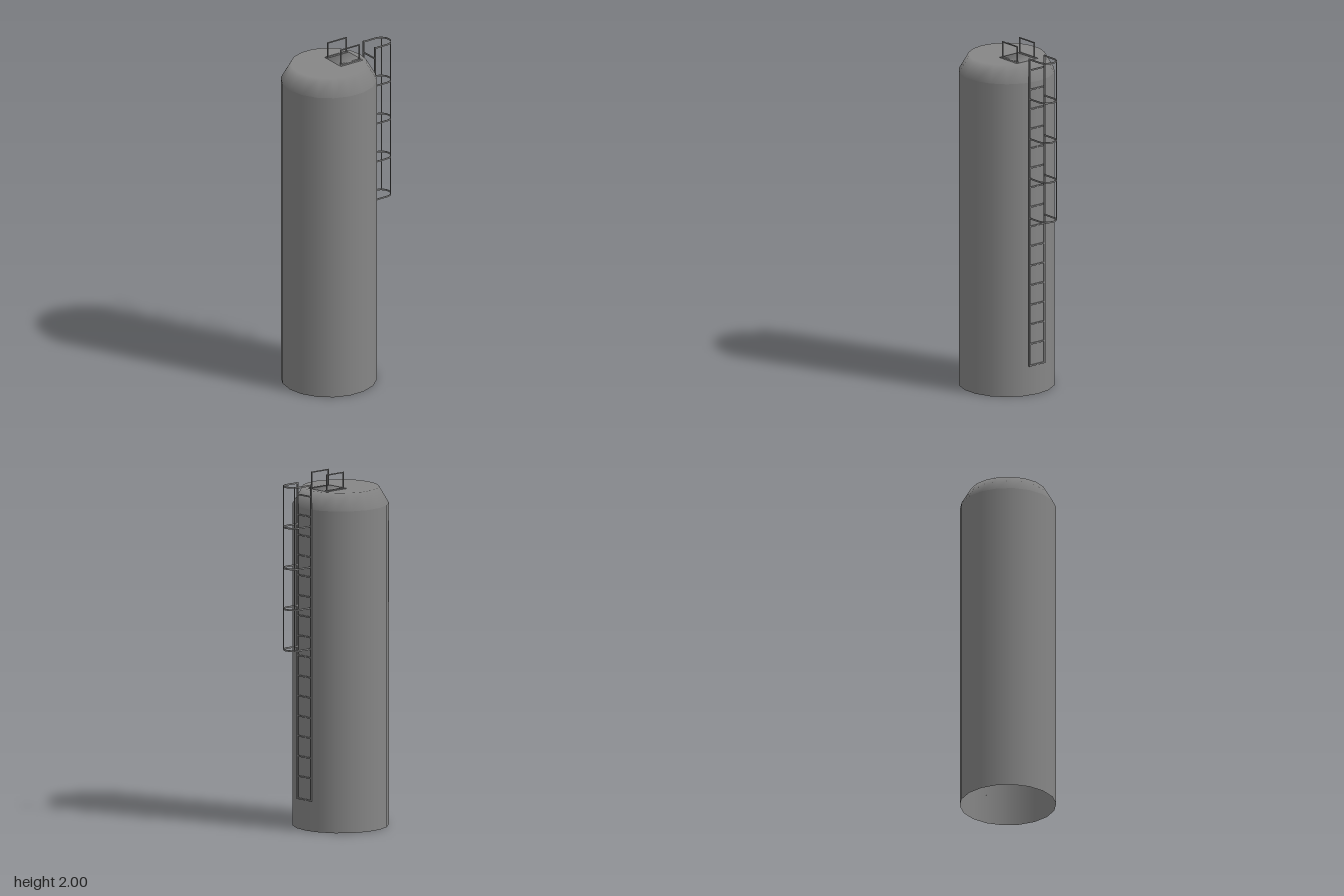
import * as THREE from 'three';

const CX = -0.0705;     // tank axis
const LADDER_Z = 0.008; // ladder centre line
const LADDER_X = 0.199;

export function createModel() {
  const model = new THREE.Group();
  const grey = new THREE.MeshStandardMaterial({ color: 0x868686, side: THREE.DoubleSide });

  const add = (parent, name, geometry, x = 0, y = 0, z = 0) => {
    const mesh = new THREE.Mesh(geometry, grey);
    mesh.name = name;
    mesh.position.set(x, y, z);
    parent.add(mesh);
    return mesh;
  };
  const box = (parent, name, w, h, d, x, y, z) =>
    add(parent, name, new THREE.BoxGeometry(w, h, d), x, y, z);
  const group = (name) => {
    const g = new THREE.Group();
    g.name = name;
    model.add(g);
    return g;
  };
  // Replace the normals by a rule on the vertex position, for soft shading
  const softNormals = (geometry, rule) => {
    const { position, normal } = geometry.attributes;
    const p = new THREE.Vector3();
    for (let i = 0; i < position.count; i++) {
      const n = rule(p.fromBufferAttribute(position, i)).normalize();
      normal.setXYZ(i, n.x, n.y, n.z);
    }
    return geometry;
  };

  // Tank: open-bottomed 18-sided shell, softly shaded shoulder and flat roof
  const tank = group('tank');
  const ring = (top, bottom, h) =>
    new THREE.CylinderGeometry(top, bottom, h, 18, 1, true, Math.PI / 2);
  const shoulder = softNormals(ring(0.213, 0.2675, 0.094), (p) =>
    p.y > 0 ? new THREE.Vector3(0, 1, 0) : new THREE.Vector3(p.x, 0.04, p.z));
  add(tank, 'tankWall', ring(0.2675, 0.2675, 1.812), CX, 0.906, 0);
  add(tank, 'tankShoulder', shoulder, CX, 1.859, 0);
  add(tank, 'tankRoof', new THREE.CircleGeometry(0.213, 18).rotateX(-Math.PI / 2), CX, 1.906, 0);

  // Roof hatch with a guard rail along each side
  const hatch = group('hatch');
  const plate = softNormals(new THREE.BoxGeometry(0.148, 0.006, 0.152), (p) =>
    new THREE.Vector3(Math.sign(p.x), Math.sign(p.y), Math.sign(p.z)));
  add(hatch, 'hatchPlate', plate, 0.031, 1.9055, -0.001);
  for (const z of [-0.062, 0.06]) {
    box(hatch, 'railFoot', 0.137, 0.003, 0.012, 0.032, 1.909, z);
    for (const x of [-0.033, 0.092]) box(hatch, 'railPost', 0.006, 0.09, 0.006, x, 1.953, z);
    box(hatch, 'railTopBar', 0.131, 0.006, 0.006, 0.0295, 1.997, z);
  }

  // Ladder: two side rails, a bottom bar and evenly spaced rungs
  const ladder = group('ladder');
  for (const side of [-1, 1]) {
    box(ladder, 'ladderRail', 0.006, 1.785, 0.009, LADDER_X, 1.0625, LADDER_Z + side * 0.054);
  }
  box(ladder, 'ladderBottomBar', 0.006, 0.008, 0.108, LADDER_X, 0.174, LADDER_Z);
  for (let i = 0; i < 15; i++) {
    box(ladder, 'ladderRung', 0.006, 0.008, 0.108, LADDER_X, 0.3 + i * 0.1133, LADDER_Z);
  }

  // Safety cage: flat U-shaped hoops joined by thin upright bars
  const cage = group('safetyCage');
  const outer = 0.056, inner = 0.0525, bend = 0.28;
  const hoop = new THREE.Shape();
  hoop.moveTo(LADDER_X, -outer);
  hoop.lineTo(bend, -outer);
  hoop.absarc(bend, 0, outer, -Math.PI / 2, Math.PI / 2, false);
  hoop.lineTo(LADDER_X, outer);
  hoop.lineTo(LADDER_X, inner);
  hoop.lineTo(bend, inner);
  hoop.absarc(bend, 0, inner, Math.PI / 2, -Math.PI / 2, true);
  hoop.lineTo(LADDER_X, -inner);
  hoop.closePath();
  const hoopGeometry = new THREE.ExtrudeGeometry(hoop, { depth: 0.009, bevelEnabled: false, curveSegments: 12 });
  hoopGeometry.rotateX(-Math.PI / 2);
  for (let i = 0; i < 5; i++) {
    add(cage, 'cageHoop', hoopGeometry, 0, 1.0255 + i * 0.23, LADDER_Z);
  }
  for (const side of [-1, 1]) {
    box(cage, 'cageBar', 0.004, 0.925, 0.004, 0.313, 1.4905, LADDER_Z + side * 0.0445);
  }

  return model;
}
